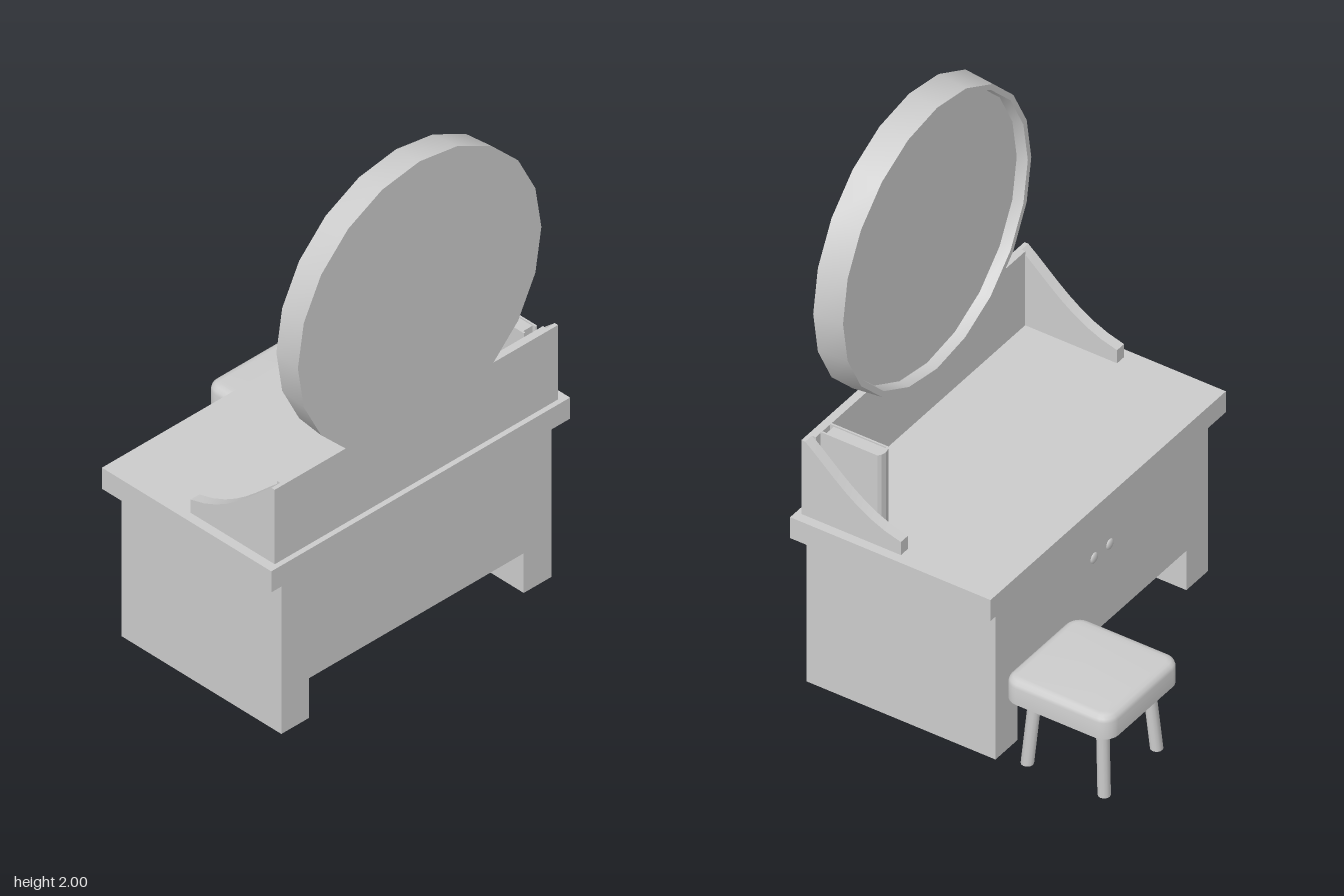
import * as THREE from 'three';
import { toCreasedNormals } from 'three/addons/utils/BufferGeometryUtils.js';

const material = new THREE.MeshStandardMaterial({ color: 0xcccccc });

function add(parent, name, geometry) {
  const mesh = new THREE.Mesh(geometry, material);
  mesh.name = name;
  parent.add(mesh);
  return mesh;
}

// Box given by its minimum and maximum corners
function box(x0, x1, y0, y1, z0, z1) {
  return new THREE.BoxGeometry(x1 - x0, y1 - y0, z1 - z0)
    .translate((x0 + x1) / 2, (y0 + y1) / 2, (z0 + z1) / 2);
}

function polygon(points) {
  return new THREE.Shape(points.map(([x, y]) => new THREE.Vector2(x, y)));
}

function extrude(shape, depth, options = {}) {
  return new THREE.ExtrudeGeometry(shape, { depth, bevelEnabled: false, ...options });
}

function createDresser() {
  const dresser = new THREE.Group();
  dresser.name = 'dresser';

  // Cabinet with a leg opening running from front to back
  const outline = polygon([
    [-0.61, 0], [-0.485, 0], [-0.485, 0.16], [0.485, 0.16],
    [0.485, 0], [0.61, 0], [0.61, 0.62], [-0.61, 0.62],
  ]);
  add(dresser, 'cabinet', extrude(outline, 0.74).rotateY(-Math.PI / 2).translate(0.585, 0, 0));
  add(dresser, 'tabletop', box(-0.18, 0.605, 0.615, 0.7, -0.675, 0.675));

  // Raised back and its two sweeping side brackets
  add(dresser, 'backBoard', box(0.555, 0.585, 0.7, 1, -0.601, 0.601));
  const bracket = new THREE.Shape();
  bracket.moveTo(0.585, 0.7);
  bracket.lineTo(0.585, 1);
  bracket.lineTo(0.57, 1);
  bracket.bezierCurveTo(0.47, 0.92, 0.37, 0.79, 0.195, 0.753);
  bracket.lineTo(0.195, 0.7);
  for (const [name, z] of [['leftBracket', 0.6], ['rightBracket', -0.64]]) {
    add(dresser, name, toCreasedNormals(extrude(bracket, 0.04, { curveSegments: 8 }).translate(0, 0, z), 0.5));
  }

  // Door knobs
  for (const z of [-0.045, 0.045]) {
    const knob = add(dresser, 'knob', new THREE.SphereGeometry(0.02, 12, 8));
    knob.scale.x = 0.4;
    knob.position.set(-0.155, 0.465, z);
  }
  return dresser;
}

// Round mirror: a shallow dish facing the sitter
function createMirror() {
  const profile = [[0, 0], [0.55, 0], [0.54, 0.11], [0.52, 0.11], [0.515, 0.07], [0, 0.07]]
    .map(([r, y]) => new THREE.Vector2(r, y));
  const geometry = toCreasedNormals(new THREE.LatheGeometry(profile, 20), 0.6);
  const mirror = new THREE.Mesh(geometry.rotateZ(Math.PI / 2).translate(0.6, 1.45, 0), material);
  mirror.name = 'mirror';
  return mirror;
}

// Upright book with a rounded spine
function createBook() {
  const book = new THREE.Group();
  book.name = 'book';
  const cover = polygon([
    [0.55, -0.03], [0.55, -0.023], [0.33, -0.023], [0.323, -0.012], [0.323, 0.012], [0.33, 0.023],
    [0.55, 0.023], [0.55, 0.03], [0.328, 0.03], [0.319, 0.02], [0.315, 0], [0.319, -0.02], [0.328, -0.03],
  ]);
  add(book, 'bookCover', extrude(cover, 0.31).rotateX(-Math.PI / 2).translate(0, 0.7, 0));
  add(book, 'bookPages', box(0.322, 0.535, 0.705, 1.005, -0.024, 0.024));
  book.position.z = -0.55;
  return book;
}

function createStool() {
  const stool = new THREE.Group();
  stool.name = 'stool';

  // Cushion: rounded square with a soft top edge and a flat underside
  const h = 0.18, r = 0.025;
  const square = new THREE.Shape();
  for (const [i, [sx, sy]] of [[1, -1], [1, 1], [-1, 1], [-1, -1]].entries()) {
    square.absarc(sx * (h - r), sy * (h - r), r, (i - 1) * Math.PI / 2, i * Math.PI / 2, false);
  }
  const seat = extrude(square, 0.065, {
    bevelEnabled: true, bevelThickness: 0.025, bevelSize: 0.03, bevelSegments: 3, curveSegments: 3,
  }).rotateX(-Math.PI / 2).translate(0, 0.27, 0);
  const p = seat.attributes.position;
  for (let i = 0; i < p.count; i++) p.setY(i, Math.max(p.getY(i), 0.27));
  add(stool, 'seat', toCreasedNormals(seat, 0.8));

  // Four splayed legs
  for (const sx of [-1, 1]) for (const sz of [-1, 1]) {
    const leg = new THREE.CylinderGeometry(0.022, 0.022, 0.3, 12);
    const q = leg.attributes.position;
    for (let i = 0; i < q.count; i++) {
      const splay = 0.14 - 0.07 * q.getY(i);
      q.setX(i, q.getX(i) + sx * splay);
      q.setZ(i, q.getZ(i) + sz * splay);
    }
    add(stool, 'stoolLeg', leg.translate(0, 0.15, 0));
  }
  stool.position.set(-0.4, 0, -0.415);
  return stool;
}

export function createModel() {
  const model = new THREE.Group();
  model.name = 'vanityTable';
  model.add(createDresser(), createMirror(), createBook(), createStool());
  return model;
}
